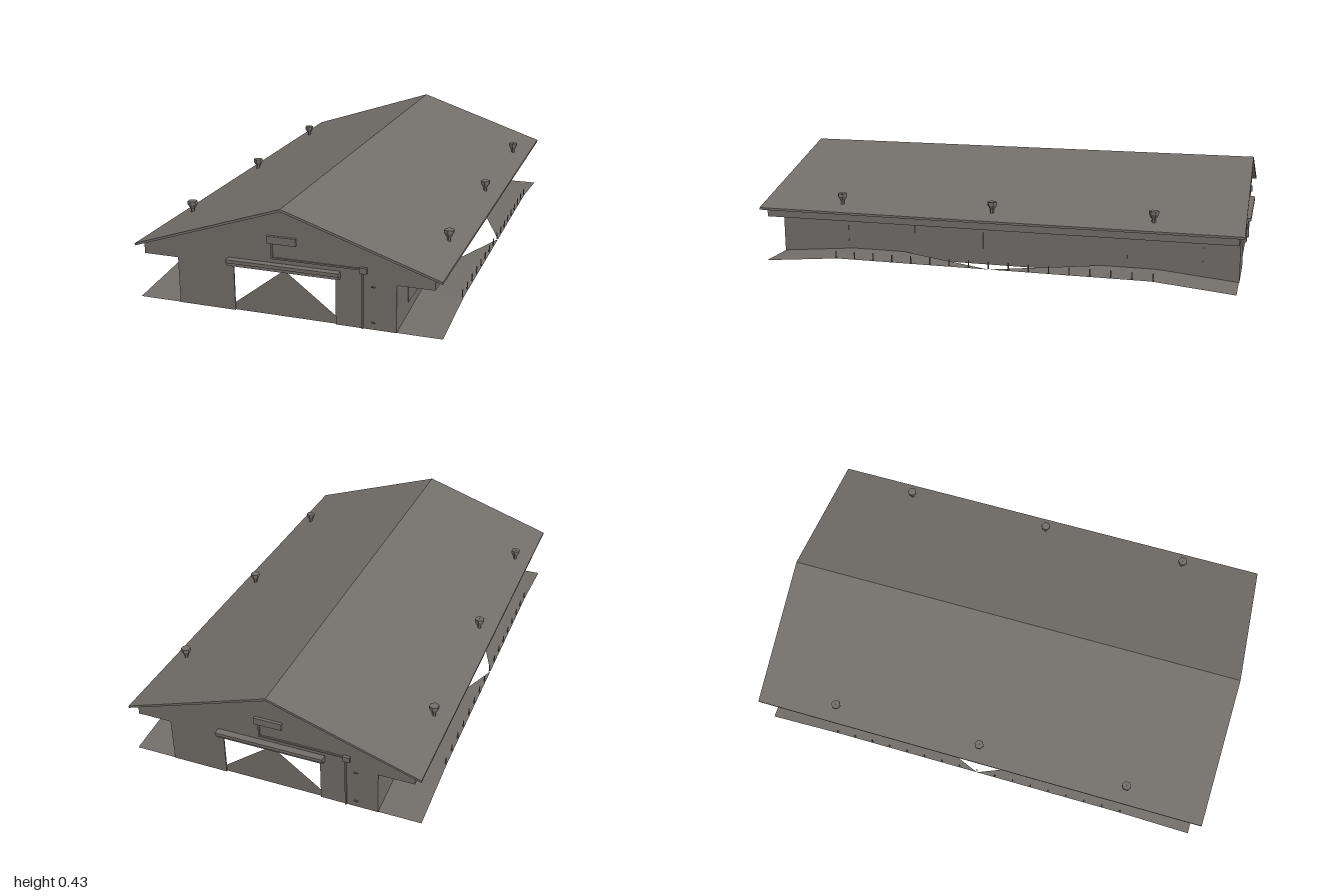
import * as THREE from 'three';

export function createModel() {
  const barn = new THREE.Group();
  barn.name = 'barn';
  const grey = new THREE.MeshStandardMaterial({ color: 0x726e69, side: THREE.DoubleSide });
  grey.name = 'weatheredGrey';

  const add = (parent, name, geometry, x = 0, y = 0, z = 0) => {
    const mesh = new THREE.Mesh(geometry, grey);
    mesh.name = name;
    mesh.position.set(x, y, z);
    parent.add(mesh);
    return mesh;
  };
  // Box given by its two opposite corners
  const box = (parent, name, [x0, y0, z0], [x1, y1, z1]) =>
    add(parent, name, new THREE.BoxGeometry(x1 - x0, y1 - y0, z1 - z0),
      (x0 + x1) / 2, (y0 + y1) / 2, (z0 + z1) / 2);
  const shape = (points) => new THREE.Shape(points.map(([x, y]) => new THREE.Vector2(x, y)));
  const extrude = (points, depth) =>
    new THREE.ExtrudeGeometry(shape(points), { depth, bevelEnabled: false });

  // Gable roof, a thin chevron running the whole length
  add(barn, 'roof', extrude([
    [-0.6, 0.226], [-0.6, 0.217], [0, 0.416], [0.6, 0.217], [0.6, 0.226], [0, 0.426],
  ], 1.984), 0, 0, -0.992);

  // The two gable ends are the same part turned half way round
  for (const turn of [0, Math.PI]) {
    const end = new THREE.Group();
    end.name = turn ? 'backEnd' : 'frontEnd';
    end.rotation.y = turn;
    barn.add(end);

    add(end, 'gableWall', extrude([
      [-0.43, 0], [-0.2, 0], [-0.2, 0.183], [0.2, 0.183], [0.2, 0], [0.43, 0], [0.43, 0.183],
      [0.57, 0.183], [0.57, 0.228], [0, 0.417], [-0.57, 0.228], [-0.57, 0.183], [-0.43, 0.183],
    ], 0.006), 0, 0, 0.966);
    // Pointed lower panel in the doorway
    add(end, 'doorPanel', new THREE.ShapeGeometry(shape([
      [-0.2, 0], [0.2, 0], [0.2, 0.03], [0, 0.183], [-0.2, 0.03],
    ])), 0, 0, 0.966);

    box(end, 'doorRail', [-0.22, 0.183, 0.972], [0.22, 0.197, 0.99]);
    box(end, 'doorRailHood', [-0.22, 0.197, 0.972], [0.22, 0.21, 1]);
    box(end, 'lampBox', [-0.06, 0.287, 0.966], [0.052, 0.315, 0.984]);
    box(end, 'switchBox', [0.293, 0.215, 0.966], [0.322, 0.237, 0.984]);
    // Conduit from the lamp box to the switch box and down to the ground
    box(end, 'conduitDrop', [-0.047, 0.226, 0.972], [-0.041, 0.287, 0.978]);
    box(end, 'conduitRun', [-0.047, 0.226, 0.972], [0.293, 0.232, 0.978]);
    box(end, 'conduitDown', [0.3, 0, 0.972], [0.306, 0.215, 0.978]);
    for (const y of [0.028, 0.166]) {
      box(end, 'hinge', [0.336, y - 0.002, 0.972], [0.35, y + 0.002, 0.977]);
    }
  }

  // Roof vent: narrow stem, flared throat and flat hexagonal cap
  const ventGeometry = new THREE.LatheGeometry([
    [0.001, 0], [0.008, 0], [0.008, 0.025], [0.02, 0.045], [0.02, 0.058], [0.001, 0.058],
  ].map(([r, y]) => new THREE.Vector2(r, y)), 6).toNonIndexed();
  ventGeometry.computeVertexNormals();

  // Flat walkway with a notch in the middle and a slope at each end
  const walkway = () => {
    const quads = [];
    for (const s of [-1, 1]) {
      const ring = [
        [0.43, 0, 0.97 * s], [0.6, 0, 0.97 * s], [0.6, 0.03, 0.65 * s],
        [0.43, 0.03, 0.65 * s], [0.6, 0.03, 0], [0.43, 0.03, 0.42 * s],
      ];
      const order = [0, 1, 2, 0, 2, 3, 3, 2, 4, 3, 4, 5];
      if (s < 0) order.reverse();
      order.forEach((i) => quads.push(...ring[i]));
    }
    const geometry = new THREE.BufferGeometry();
    geometry.setAttribute('position', new THREE.Float32BufferAttribute(quads, 3));
    geometry.computeVertexNormals();
    return geometry;
  };

  // The two long sides are the same part turned half way round
  for (const turn of [0, Math.PI]) {
    const side = new THREE.Group();
    side.name = turn ? 'rightSide' : 'leftSide';
    side.rotation.y = turn;
    barn.add(side);

    box(side, 'sideWall', [0.425, 0, -0.966], [0.43, 0.19, 0.966]);
    box(side, 'eaveFascia', [0.566, 0.183, -0.968], [0.57, 0.228, 0.968]);
    box(side, 'eaveSoffit', [0.43, 0.183, -0.968], [0.57, 0.186, 0.968]);
    add(side, 'walkway', walkway());

    for (const z of [-0.75, -0.45, -0.15, 0.15, 0.45, 0.75]) {
      box(side, 'windowPanel', [0.423, 0.06, z - 0.08], [0.432, 0.15, z + 0.08]);
    }
    for (let i = -8; i <= 8; i++) {
      box(side, 'railPost', [0.593, 0.03, i * 0.082 - 0.002], [0.597, 0.06, i * 0.082 + 0.002]);
    }
    for (const z of [-0.645, 0, 0.645]) {
      add(side, 'roofVent', ventGeometry, 0.535, 0.234, z);
    }
  }
  return barn;
}
